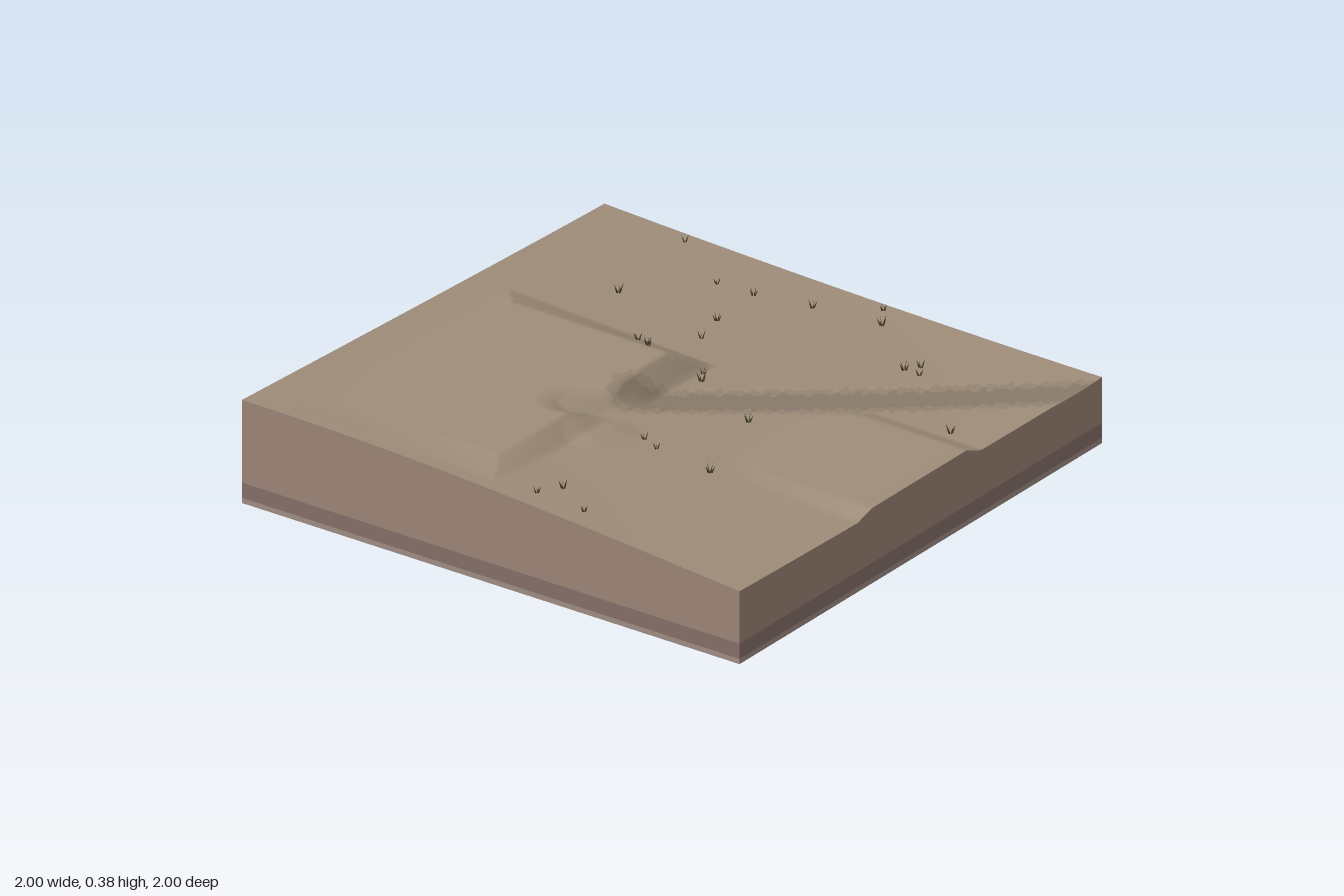
import * as THREE from 'three';

const N = 120; // ground cells per side
const clamp = THREE.MathUtils.clamp, lerp = THREE.MathUtils.lerp;
const ramp = (v, a, b) => clamp((v - a) / (b - a), 0, 1);

// distance from a point to a segment
function segDist(x, z, ax, az, bx, bz) {
  const dx = bx - ax, dz = bz - az;
  const t = clamp(((x - ax) * dx + (z - az) * dz) / (dx * dx + dz * dz), 0, 1);
  return Math.hypot(x - ax - t * dx, z - az - t * dz);
}
const trackDist = (x, z) => segDist(x, z, -0.12, -0.06, 0.9, 1.04);

// natural hillside, rising to the back left
function hill(x, z) {
  const u = (1 - z) / 2, t = (1 - x) / 2;
  const right = 0.24 + 0.045 * u * u;
  const left = 0.265 + 0.11 * Math.sin(u * Math.PI / 2);
  return right + (left - right) * Math.pow(t, 2 - 0.9 * u);
}

// hillside with the terrace, its access notch, the front pad and the track
function height(x, z) {
  let h = hill(x, z);
  const terrace = Math.min(ramp(x, -0.94, -0.8), ramp(-x, -0.27, -0.12),
    ramp(z, -0.85, -0.73), ramp(-z, 0.03, 0.11));
  const notch = (1 - ramp(segDist(x, z, -0.33, -0.17, -0.16, 0.02), 0.04, 0.11)) * ramp(z, -0.28, -0.08);
  h = lerp(h, 0.36, terrace * (1 - notch));
  // low spoil heap beside the notch
  h += 0.014 * (1 - ramp(segDist(x, z, -0.45, 0.0, -0.36, 0.03), 0, 0.09));
  // pad with rounded corners
  const qx = Math.max(Math.abs(x + 0.01) - 0.14, 0), qz = Math.max(Math.abs(z - 0.71) - 0.1, 0);
  const pad = 1 - ramp(Math.hypot(qx, qz), 0.12, 0.2);
  const padFront = z > 0.71 ? 1 - ramp(Math.abs(x + 0.01), 0.26, 0.34) : pad;
  h = lerp(h, 0.277 - 0.003 * ramp(z, 0.95, 1), Math.max(pad, padFront));
  return h - 0.004 * (1 - ramp(trackDist(x, z), 0.03, 0.1));
}

const material = (color, side = THREE.FrontSide) =>
  new THREE.MeshStandardMaterial({ color, side, roughness: 1 });

function addMesh(parent, name, geometry, mat) {
  const mesh = new THREE.Mesh(geometry, mat);
  mesh.name = name;
  parent.add(mesh);
  return mesh;
}

function makeGround() {
  const group = new THREE.Group();
  group.name = 'ground';
  const pos = [], nor = [], e = 0.008, n = new THREE.Vector3();
  for (let j = 0; j <= N; j++) for (let i = 0; i <= N; i++) {
    const x = -1 + 2 * i / N, z = -1 + 2 * j / N;
    pos.push(x, height(x, z), z);
    n.set(height(x - e, z) - height(x + e, z), 2 * e, height(x, z - e) - height(x, z + e)).normalize();
    nor.push(n.x, n.y, n.z);
  }
  // sort cells into soil, worn edge and track
  const cells = [[], [], []];
  for (let j = 0; j < N; j++) for (let i = 0; i < N; i++) {
    const x = -1 + 2 * (i + 0.5) / N, z = -1 + 2 * (j + 0.5) / N;
    const d = trackDist(x, z) + 0.008 * Math.sin(j * 2.4);
    const a = j * (N + 1) + i, b = a + 1, c = a + N + 1;
    cells[d < 0.055 ? 2 : d < 0.085 ? 1 : 0].push(a, c, b, b, c, c + 1);
  }
  const P = new THREE.Float32BufferAttribute(pos, 3), M = new THREE.Float32BufferAttribute(nor, 3);
  [['soil', 0x9f8d79], ['trackEdge', 0x958472], ['track', 0x8a7b6b]].forEach(([name, color], k) => {
    const g = new THREE.BufferGeometry();
    g.setAttribute('position', P);
    g.setAttribute('normal', M);
    g.setIndex(cells[k]);
    addMesh(group, name, g, material(color));
  });
  return group;
}

// cut face of the earth below one edge, following the ground line
function makeWall(ax, az, bx, bz, y0) {
  const pos = [], idx = [];
  for (let i = 0; i <= N; i++) {
    const x = lerp(ax, bx, i / N), z = lerp(az, bz, i / N);
    pos.push(x, y0, z, x, height(x, z), z);
    if (i < N) idx.push(2 * i, 2 * i + 2, 2 * i + 1, 2 * i + 1, 2 * i + 2, 2 * i + 3);
  }
  const g = new THREE.BufferGeometry();
  g.setAttribute('position', new THREE.Float32BufferAttribute(pos, 3));
  g.setIndex(idx);
  g.computeVertexNormals();
  return g;
}

// tuft of thin upright blades fanning outward
function makeTuftGeometry() {
  const pos = [];
  for (let k = 0; k < 5; k++) {
    const a = k * Math.PI * 0.4, c = Math.cos(a), s = Math.sin(a), r = 0.003, R = 0.015;
    const top = 0.026 + 0.006 * (k % 2);
    pos.push(c * r - c * 0.004, 0, s * r - s * 0.004, c * r + c * 0.004, 0, s * r + s * 0.004, c * R, top, s * R);
  }
  const g = new THREE.BufferGeometry();
  g.setAttribute('position', new THREE.Float32BufferAttribute(pos, 3));
  g.computeVertexNormals();
  return g;
}

const TUFTS = [
  [-0.91, 0.31], [-0.91, 0.12], [-0.82, 0.16], [-0.38, 0.43], [-0.36, 0.2], [-0.33, 0.13], [0.01, 0.3],
  [0.37, 0.85], [0.13, -0.19], [0.18, -0.23], [0.21, -0.29], [0.15, 0.01], [0.2, -0.02], [0.41, -0.18],
  [0.55, -0.22], [0.5, -0.58], [0.77, -0.38], [0.78, -0.24], [0.83, -0.04], [0.87, 0.21], [0.96, 0.15],
  [0.65, 0.52], [0.7, 0.49], [0.65, 0.46], [0.95, -0.64],
];

export function createModel() {
  const model = new THREE.Group();
  model.name = 'terrainBlock';
  model.add(makeGround());

  // earth layers
  const earth = material(0x9d8577);
  [['frontEarth', -1, 1, 1, 1], ['rightEarth', 1, 1, 1, -1], ['backEarth', 1, -1, -1, -1], ['leftEarth', -1, -1, -1, 1]]
    .forEach(([name, ...ends]) => addMesh(model, name, makeWall(...ends, 0.075), earth));
  [['darkLayer', 0.02, 0.075, 0x876f69], ['bedLayer', 0.001, 0.02, 0xa08d85]].forEach(([name, y0, y1, color]) => {
    addMesh(model, name, new THREE.BoxGeometry(2, y1 - y0, 2), material(color)).position.y = (y0 + y1) / 2;
  });
  const underside = addMesh(model, 'underside', new THREE.PlaneGeometry(2, 2), material(0x5c554d));
  underside.rotation.x = Math.PI / 2;

  // grass
  const grass = new THREE.Group();
  grass.name = 'grass';
  const blade = makeTuftGeometry(), green = material(0x4a4230, THREE.DoubleSide);
  TUFTS.forEach(([x, z], i) => {
    const tuft = addMesh(grass, 'grassTuft', blade, green);
    tuft.position.set(x, height(x, z) - 0.002, z);
    tuft.rotation.y = i * 1.7;
    tuft.scale.setScalar(0.85 + 0.1 * (i % 4));
  });
  model.add(grass);
  return model;
}
